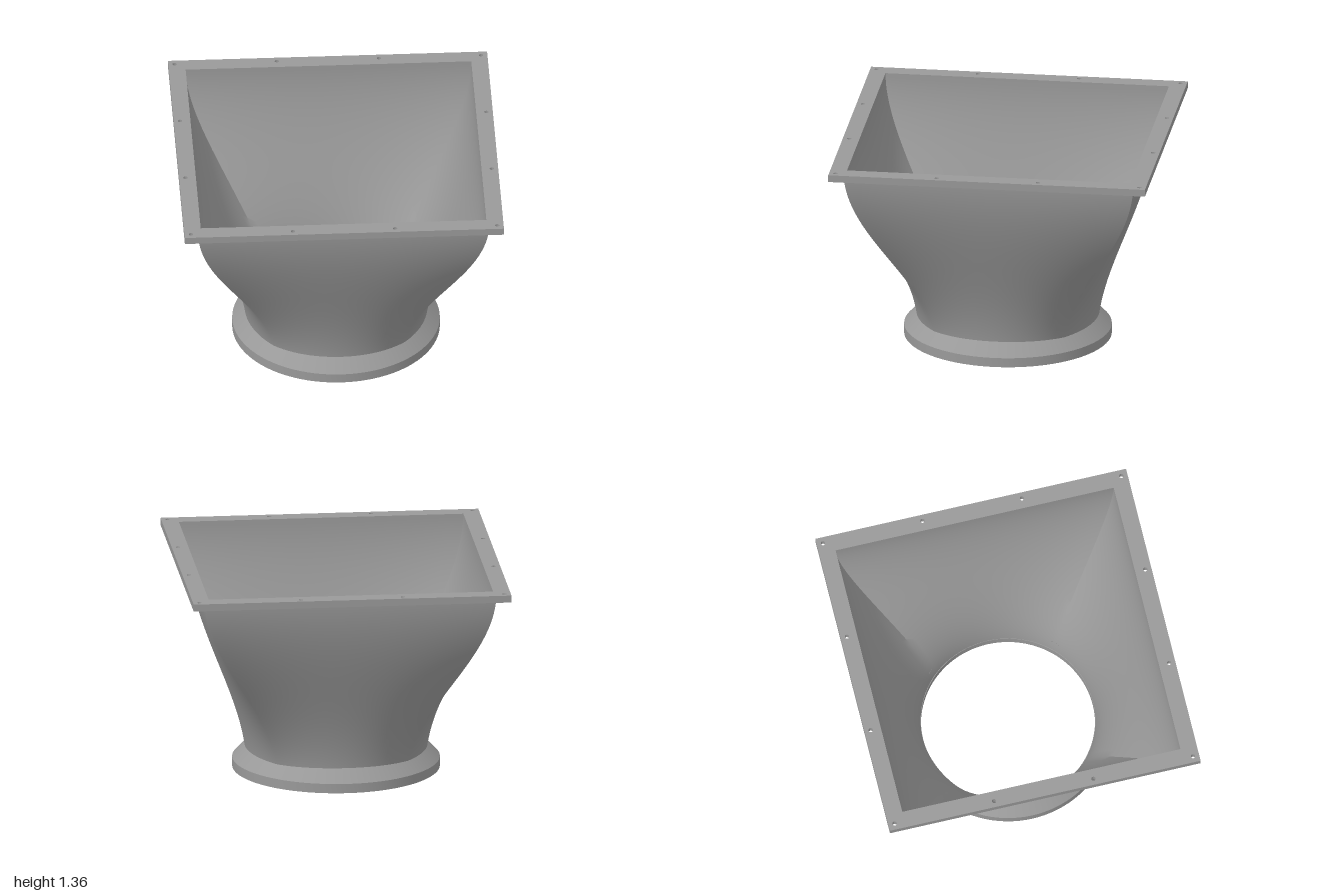
import * as THREE from 'three';
import { toCreasedNormals } from 'three/addons/utils/BufferGeometryUtils.js';

const HEIGHT = 1.355;
const FLANGE_Y = 1.31;
const SEGMENTS = 96;

// Wall that blends from a circle at the bottom to a square at the top
function loftWall(radius, half, top, inward) {
  const rows = 40, positions = [], index = [];
  for (let j = 0; j <= rows; j++) {
    const y = top * j / rows;
    const s = THREE.MathUtils.smoothstep(y, 0, HEIGHT);
    for (let i = 0; i < SEGMENTS; i++) {
      const a = i / SEGMENTS * Math.PI * 2;
      const side = Math.round(a / (Math.PI / 2));
      const local = a - side * Math.PI / 2;
      const c = Math.cos(side * Math.PI / 2), n = Math.sin(side * Math.PI / 2);
      const along = local / (Math.PI / 4);
      const sx = (c - n * along) * half, sz = (n + c * along) * half;
      positions.push(
        THREE.MathUtils.lerp(radius * Math.cos(a), sx, s), y,
        THREE.MathUtils.lerp(radius * Math.sin(a), sz, s));
    }
  }
  for (let j = 0; j < rows; j++) {
    for (let i = 0; i < SEGMENTS; i++) {
      const a = j * SEGMENTS + i, b = j * SEGMENTS + (i + 1) % SEGMENTS;
      const c = a + SEGMENTS, d = b + SEGMENTS;
      if (inward) index.push(a, b, c, b, d, c);
      else index.push(a, c, b, b, c, d);
    }
  }
  const geometry = new THREE.BufferGeometry();
  geometry.setAttribute('position', new THREE.Float32BufferAttribute(positions, 3));
  geometry.setIndex(index);
  return toCreasedNormals(geometry, 0.6);
}

function addHole(shape, x, y, r) {
  shape.holes.push(new THREE.Path().absarc(x, y, r, 0, Math.PI * 2, true));
}

// Flat plate lying on y = 0
function plate(shape, depth, curveSegments) {
  const geometry = new THREE.ExtrudeGeometry(shape, { depth, bevelEnabled: false, curveSegments });
  geometry.rotateX(-Math.PI / 2);
  return toCreasedNormals(geometry, 0.6);
}

function squareCorners(h) {
  return [[-h, -h], [h, -h], [h, h], [-h, h]].map(([x, y]) => new THREE.Vector2(x, y));
}

export function createModel() {
  const model = new THREE.Group();
  model.name = 'squareToRoundTransition';
  const metal = new THREE.MeshStandardMaterial({ color: 0x999999 });
  metal.name = 'grey metal';
  const add = (name, geometry, y = 0) => {
    const mesh = new THREE.Mesh(geometry, metal);
    mesh.name = name;
    mesh.position.y = y;
    model.add(mesh);
  };

  // Thin hopper body
  add('outerWall', loftWall(0.562, 0.915, FLANGE_Y, false));
  add('innerWall', loftWall(0.545, 0.895, HEIGHT, true));

  // Square top flange with twelve bolt holes
  const square = new THREE.Shape(squareCorners(1));
  square.holes.push(new THREE.Path(squareCorners(0.895).reverse()));
  const steps = [-0.96, -0.32, 0.32, 0.96];
  for (const x of steps) {
    for (const y of steps) {
      if (Math.max(Math.abs(x), Math.abs(y)) > 0.9) addHole(square, x, y, 0.0135);
    }
  }
  add('topFlange', plate(square, HEIGHT - FLANGE_Y, 16), FLANGE_Y);

  // Round bottom ring with six bolt holes
  const ring = new THREE.Shape().absarc(0, 0, 0.65, 0, Math.PI * 2, false);
  addHole(ring, 0, 0, 0.545);
  for (let i = 0; i < 6; i++) {
    const a = Math.PI / 6 + i * Math.PI / 3;
    addHole(ring, 0.61 * Math.cos(a), 0.61 * Math.sin(a), 0.0135);
  }
  add('bottomRing', plate(ring, 0.06, SEGMENTS / 2));

  // Sloped collar between ring and body
  add('collar', new THREE.LatheGeometry(
    [new THREE.Vector2(0.65, 0.06), new THREE.Vector2(0.567, 0.147)], SEGMENTS));

  return model;
}
